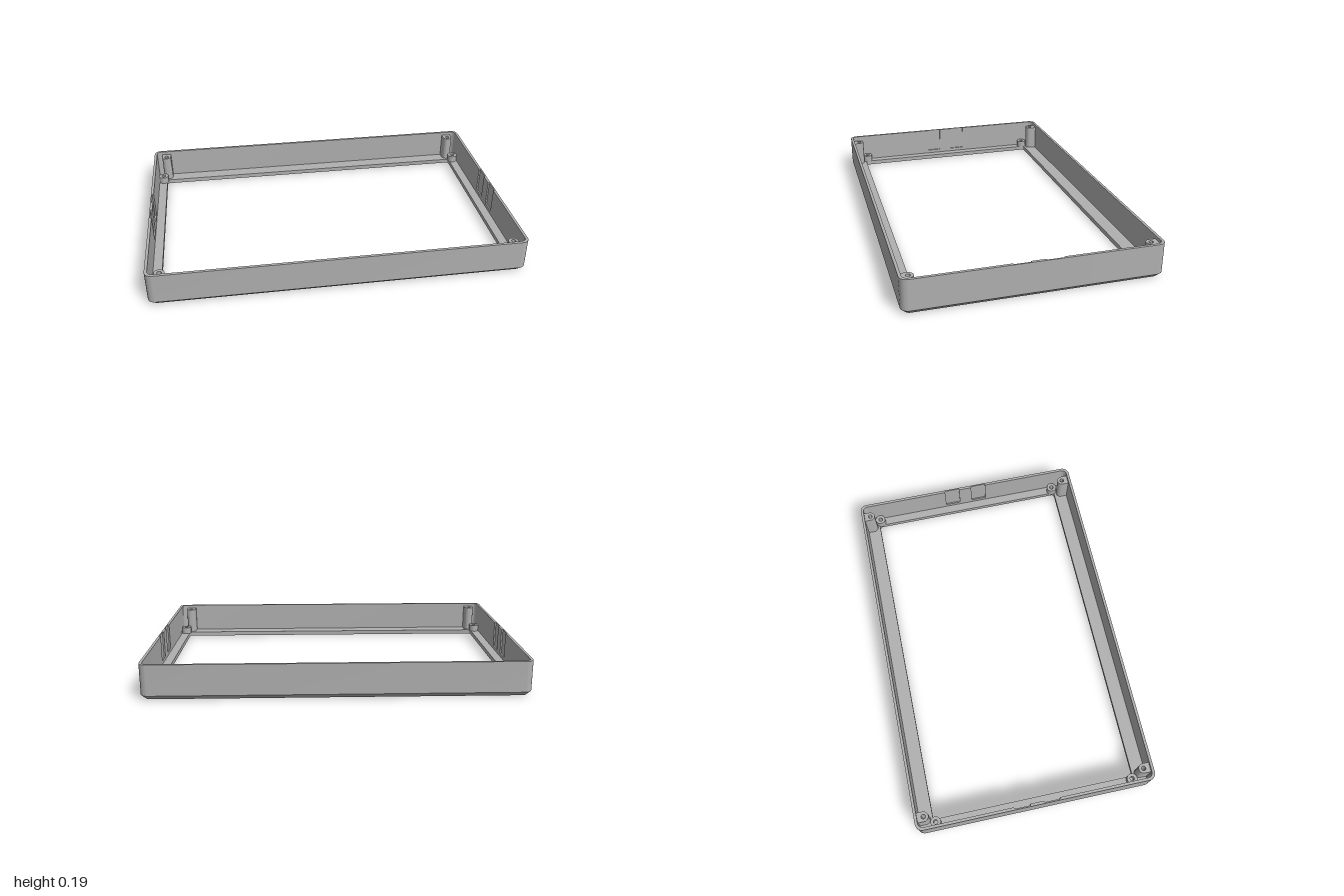
import * as THREE from 'three';
import { toCreasedNormals } from 'three/addons/utils/BufferGeometryUtils.js';

const SEG = 10; // segments per rounded corner

// Rounded rectangle loop at height y; notch pushes two spans of each short side outward
function ring(y, hx, hz, r, notch = 0) {
  const pts = [];
  const corners = [[1, 1], [-1, 1], [-1, -1], [1, -1]];
  const steps = [[-0.127, 0], [-0.127, 1], [-0.038, 1], [-0.038, 0],
    [0.038, 0], [0.038, 1], [0.127, 1], [0.127, 0]];
  corners.forEach(([sx, sz], q) => {
    for (let i = 0; i <= SEG; i++) {
      const a = (q + i / SEG) * Math.PI / 2;
      pts.push([sx * (hx - r) + r * Math.cos(a), y, sz * (hz - r) + r * Math.sin(a)]);
    }
    if (q === 1 || q === 3) {
      const side = q === 1 ? -1 : 1;
      for (const [z, n] of steps) pts.push([side * (hx + n * notch), y, side * z]);
    }
  });
  return pts;
}

// Skin between successive loops
function loft(rings) {
  const pos = [], n = rings[0].length;
  for (let k = 0; k < rings.length - 1; k++) {
    const A = rings[k], B = rings[k + 1];
    for (let i = 0; i < n; i++) {
      const j = (i + 1) % n;
      pos.push(...A[i], ...B[i], ...A[j], ...A[j], ...B[i], ...B[j]);
    }
  }
  const g = new THREE.BufferGeometry();
  g.setAttribute('position', new THREE.Float32BufferAttribute(pos, 3));
  return toCreasedNormals(g, 0.4);
}

// Upright boss with a screw hole; tail extends it backwards to meet a wall
function bossGeometry(r, hole, height, tail) {
  const s = new THREE.Shape();
  if (tail) {
    s.moveTo(r, 0);
    s.lineTo(r, tail);
    s.lineTo(-r, tail);
    s.lineTo(-r, 0);
    s.absarc(0, 0, r, Math.PI, 2 * Math.PI, false);
  } else {
    s.absarc(0, 0, r, 0, 2 * Math.PI, false);
  }
  const h = new THREE.Path();
  h.absarc(0, 0, hole, 0, 2 * Math.PI, true);
  s.holes.push(h);
  const g = new THREE.ExtrudeGeometry(s, { depth: height, bevelEnabled: false, curveSegments: 16 });
  g.rotateX(-Math.PI / 2);
  return toCreasedNormals(g, 0.5);
}

export function createModel() {
  const model = new THREE.Group();
  model.name = 'bezelFrame';
  const grey = new THREE.MeshStandardMaterial({ color: 0xb0b0b0 });
  grey.name = 'grey plastic';

  const add = (name, geometry, x = 0, y = 0, z = 0, ry = 0) => {
    const m = new THREE.Mesh(geometry, grey);
    m.name = name;
    m.position.set(x, y, z);
    m.rotation.y = ry;
    model.add(m);
  };

  // Walls, chamfered foot, inner flange and side grooves as one closed skin
  const inner = [0.985, 0.645, 0.028];
  const open = [0.936, 0.57, 0.015];
  add('frame', loft([
    ring(0, ...open),
    ring(0, 0.975, 0.635, 0.02),
    ring(0.025, 1, 0.66, 0.04),
    ring(0.19, 1, 0.66, 0.04),
    ring(0.19, ...inner, 0.008),
    ring(0.045, ...inner, 0.008),
    ring(0.045, ...inner),
    ring(0.025, ...inner),
    ring(0.025, ...open),
    ring(0, ...open),
  ]));

  // Tall screw posts and short bosses in every corner
  const post = bossGeometry(0.027, 0.012, 0.147, 0.038);
  const boss = bossGeometry(0.029, 0.012, 0.04, 0);
  for (const sx of [-1, 1]) {
    for (const sz of [-1, 1]) {
      add('screwPost', post, sx * 0.928, 0.024, sz * 0.61, sz > 0 ? Math.PI : 0);
      add('shortBoss', boss, sx * 0.956, 0.024, sz * 0.557);
    }
  }
  return model;
}
